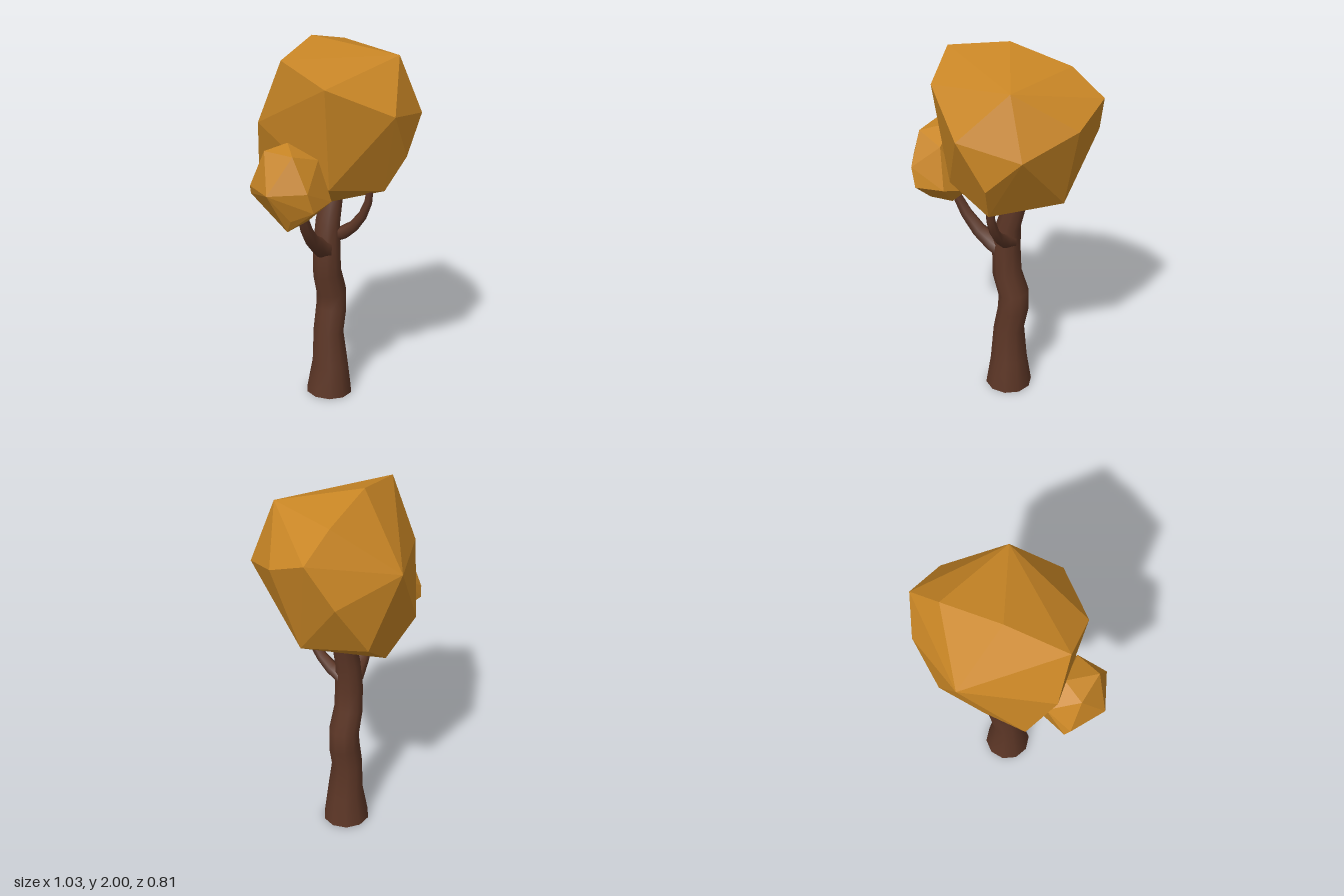
import * as THREE from 'three';
import { ConvexGeometry } from 'three/addons/geometries/ConvexGeometry.js';

const V = (p) => new THREE.Vector3(p[0], p[1], p[2]);

// Smooth tapered limb through rings of [x, y, z, radius]
function limbGeometry(rings, sides, ref) {
  const pos = [], index = [];
  const centres = rings.map(V);
  rings.forEach((ring, i) => {
    const t = centres[Math.min(i + 1, rings.length - 1)].clone()
      .sub(centres[Math.max(i - 1, 0)]).normalize();
    const a = ref.clone().cross(t).normalize();
    const c = t.clone().cross(a);
    for (let j = 0; j < sides; j++) {
      const th = (j / sides) * Math.PI * 2;
      const p = centres[i].clone()
        .addScaledVector(a, Math.cos(th) * ring[3])
        .addScaledVector(c, Math.sin(th) * ring[3]);
      pos.push(p.x, p.y, p.z);
      if (i < rings.length - 1) {
        const k = (j + 1) % sides, lo = i * sides, hi = lo + sides;
        index.push(lo + j, lo + k, hi + k, lo + j, hi + k, hi + j);
      }
    }
  });
  const g = new THREE.BufferGeometry();
  g.setAttribute('position', new THREE.Float32BufferAttribute(pos, 3));
  g.setIndex(index);
  g.computeVertexNormals();
  return g;
}

export function createModel() {
  const tree = new THREE.Group();
  tree.name = 'tree';
  const bark = new THREE.MeshStandardMaterial({ color: 0x5c3626 });
  bark.name = 'bark brown';
  const leaf = new THREE.MeshStandardMaterial({ color: 0xc98625 });
  leaf.name = 'autumn leaf';

  const add = (name, geometry, material) => {
    const mesh = new THREE.Mesh(geometry, material);
    mesh.name = name;
    tree.add(mesh);
    return mesh;
  };

  // Trunk: flared foot, a bend at mid height, leaning into the crown
  add('trunk', limbGeometry([
    [0.042, 0, -0.042, 0.127], [0.044, 0.17, -0.038, 0.101],
    [0.04, 0.36, -0.046, 0.085], [0.066, 0.49, -0.046, 0.086],
    [0.068, 0.59, -0.046, 0.083], [0.028, 0.71, -0.045, 0.079],
    [0.023, 0.85, -0.045, 0.077], [0.034, 1.0, -0.045, 0.068],
    [0.066, 1.11, -0.047, 0.063], [0.085, 1.25, -0.05, 0.055],
  ], 10, new THREE.Vector3(0, 0, 1)), bark);
  const foot = add('trunkBase', new THREE.CircleGeometry(0.125, 10), bark);
  foot.rotation.x = Math.PI / 2;
  foot.position.set(0.042, 0.002, -0.042);

  // Branches curving up into the foliage
  add('rightBranch', limbGeometry([
    [0.02, 0.85, -0.03, 0.055], [-0.05, 0.88, -0.03, 0.052],
    [-0.13, 0.94, -0.02, 0.041], [-0.2, 1.03, -0.01, 0.033],
    [-0.245, 1.12, 0, 0.026], [-0.27, 1.24, 0, 0.02],
  ], 6, new THREE.Vector3(0, 0, 1)), bark);
  add('frontBranch', limbGeometry([
    [0.06, 0.92, -0.03, 0.04], [0.06, 0.95, 0.04, 0.036],
    [0.06, 1.0, 0.105, 0.03], [0.06, 1.07, 0.16, 0.026],
    [0.06, 1.15, 0.195, 0.023], [0.06, 1.27, 0.21, 0.02],
  ], 6, new THREE.Vector3(1, 0, 0)), bark);

  // Large faceted crown
  add('crown', new ConvexGeometry([
    [0, 2, -0.12], [-0.327, 1.94, -0.065], [0.33, 1.92, -0.15],
    [0.21, 1.91, 0.275], [-0.29, 1.82, 0.17], [0.515, 1.795, -0.135],
    [0.49, 1.7, 0.09], [-0.02, 1.66, 0.405], [0.09, 1.655, -0.41],
    [-0.345, 1.61, -0.2], [0.315, 1.6, 0.35], [0.44, 1.565, -0.26],
    [0.13, 1.415, 0.38], [0.26, 1.28, -0.33], [-0.21, 1.28, 0.14],
    [0.375, 1.24, 0], [-0.225, 1.24, -0.295], [0.09, 1.22, 0.275],
    [0.03, 1.11, -0.28], [0.12, 1.11, -0.04], [0.01, 1.11, -0.05],
  ].map(V)), leaf);

  // Small faceted clump on the side branch
  add('sideClump', new ConvexGeometry([
    [-0.52, 1.305, -0.015], [-0.425, 1.5, -0.1], [-0.425, 1.5, 0.075],
    [-0.425, 1.325, 0.165], [-0.425, 1.3, -0.195], [-0.4, 1.25, -0.21],
    [-0.395, 1.22, 0.18], [-0.425, 1.16, 0.06], [-0.4, 1.09, 0.02],
    [-0.255, 1.11, 0.04], [-0.23, 1.235, 0.17], [-0.275, 1.455, 0.12],
    [-0.3, 1.52, -0.05], [-0.24, 1.2, -0.16], [-0.28, 1.4, -0.19],
    [-0.17, 1.19, 0.03],
  ].map(V)), leaf);

  return tree;
}
